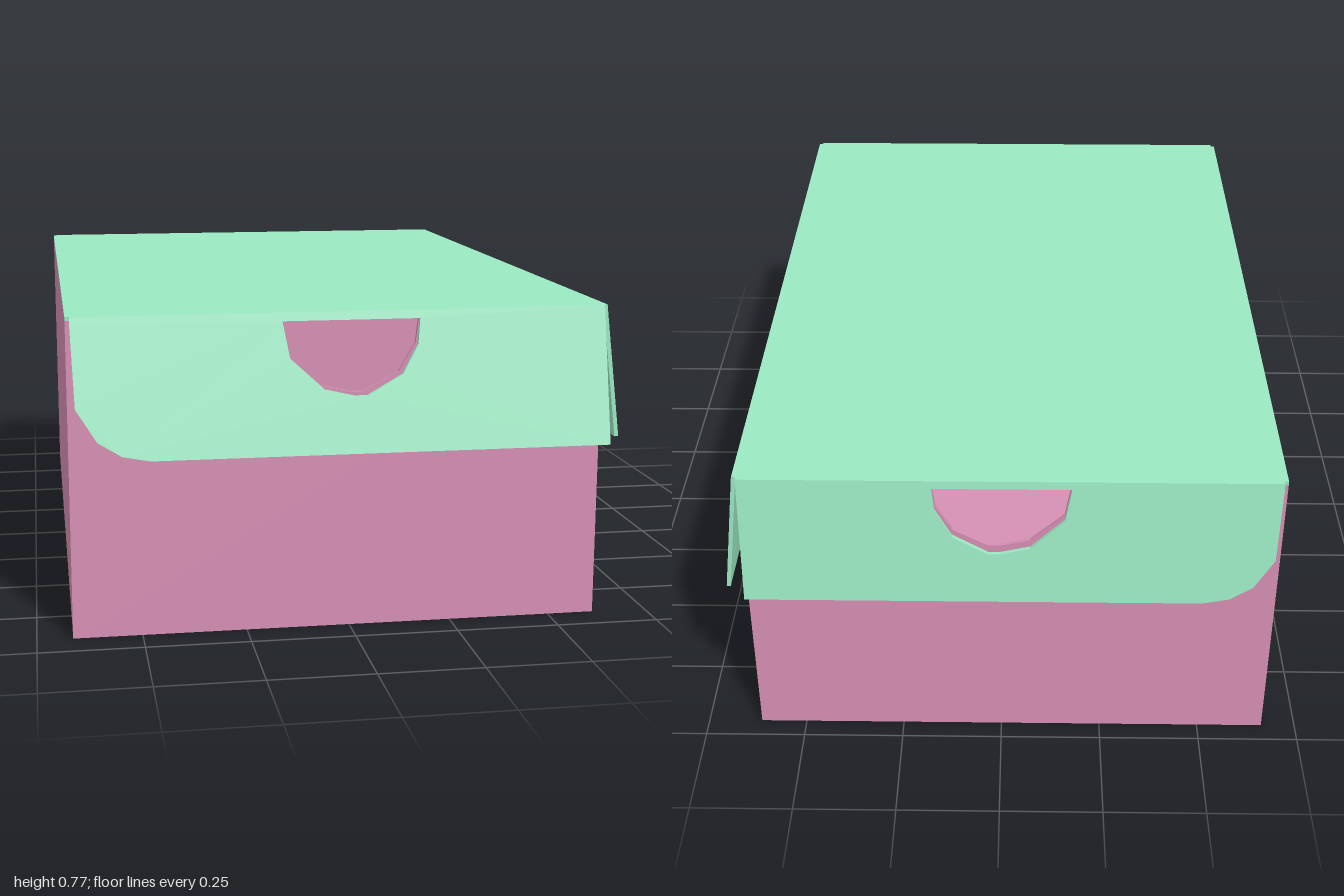
import * as THREE from 'three';

const T = 0.01; // card thickness
const X0 = -0.665, X1 = 0.615, Z0 = -0.95, Z1 = 0.915, TOP = 0.77;
const FLAP_BOTTOM = 0.445;

const pink = new THREE.MeshStandardMaterial({ color: 0xd58fb3 });
const green = new THREE.MeshStandardMaterial({ color: 0x9be8c2 });

const points = (list) => list.map(([x, y]) => new THREE.Vector2(x, y));

// Half-round finger hole shared by the end walls and end flaps
const HOLE = points([
  [-0.165, 0.75], [-0.15, 0.665], [-0.07, 0.592], [0.0, 0.576], [0.03, 0.576],
  [0.115, 0.622], [0.155, 0.69], [0.162, 0.75],
]);

// Sheet in the xy plane, from z = 0 to z = T
function sheet(outline, hole) {
  const shape = new THREE.Shape(points(outline));
  if (hole) shape.holes.push(new THREE.Path(hole));
  return new THREE.ExtrudeGeometry(shape, { depth: T, bevelEnabled: false });
}

// Leans a sheet outwards below its hinge line at the top
function lean(geometry, spread) {
  const p = geometry.attributes.position;
  for (let i = 0; i < p.count; i++) {
    p.setZ(i, p.getZ(i) + spread * (TOP - p.getY(i)) / (TOP - FLAP_BOTTOM));
  }
  geometry.computeVertexNormals();
  return geometry;
}

export function createModel() {
  const model = new THREE.Group();
  const box = new THREE.Group();
  const lid = new THREE.Group();
  box.name = 'box';
  lid.name = 'lid';
  model.add(box, lid);

  const add = (parent, name, geometry, material, x = 0, y = 0, z = 0) => {
    const mesh = new THREE.Mesh(geometry, material);
    mesh.name = name;
    mesh.position.set(x, y, z);
    parent.add(mesh);
    return mesh;
  };

  const midX = (X0 + X1) / 2, midZ = (Z0 + Z1) / 2;
  const wallTop = TOP - T;
  const innerDepth = Z1 - Z0 - 2 * T;

  // Tray: floor, two plain sides, two ends with finger holes
  add(box, 'floor', new THREE.BoxGeometry(X1 - X0 - 2 * T, T, innerDepth), pink, midX, T / 2, midZ);
  const side = new THREE.BoxGeometry(T, wallTop, innerDepth);
  add(box, 'hingeSideWall', side, pink, X0 + T / 2, wallTop / 2, midZ);
  add(box, 'openingSideWall', side, pink, X1 - T / 2, wallTop / 2, midZ);
  const end = sheet([[X0, 0], [X1, 0], [X1, wallTop], [X0, wallTop]], HOLE);
  add(box, 'frontWall', end, pink, 0, 0, Z1 - T);
  add(box, 'backWall', end, pink, 0, 0, Z0);

  // Lid panel
  add(lid, 'lidPanel', new THREE.BoxGeometry(X1 - X0, T, Z1 - Z0), green, midX, TOP - T / 2, midZ);

  // End flaps, rounded at the hinge-side corner
  const flapOutline = [
    [-0.655, TOP], [-0.655, 0.75], [-0.648, 0.565], [-0.6, 0.49], [-0.545, 0.457],
    [-0.48, FLAP_BOTTOM], [X1, FLAP_BOTTOM], [X1, TOP],
  ];
  add(lid, 'frontFlap', lean(sheet(flapOutline, HOLE), 0.075), green, 0, 0, Z1);
  add(lid, 'backFlap', lean(sheet(flapOutline, HOLE), -0.04), green, 0, 0, Z0 - T);

  // Long flap along the opening side
  const long = lean(sheet([[-Z1, FLAP_BOTTOM], [-Z0, FLAP_BOTTOM], [-Z0, TOP], [-Z1, TOP]]), 0.04);
  add(lid, 'sideFlap', long, green, X1).rotation.y = Math.PI / 2;

  return model;
}
